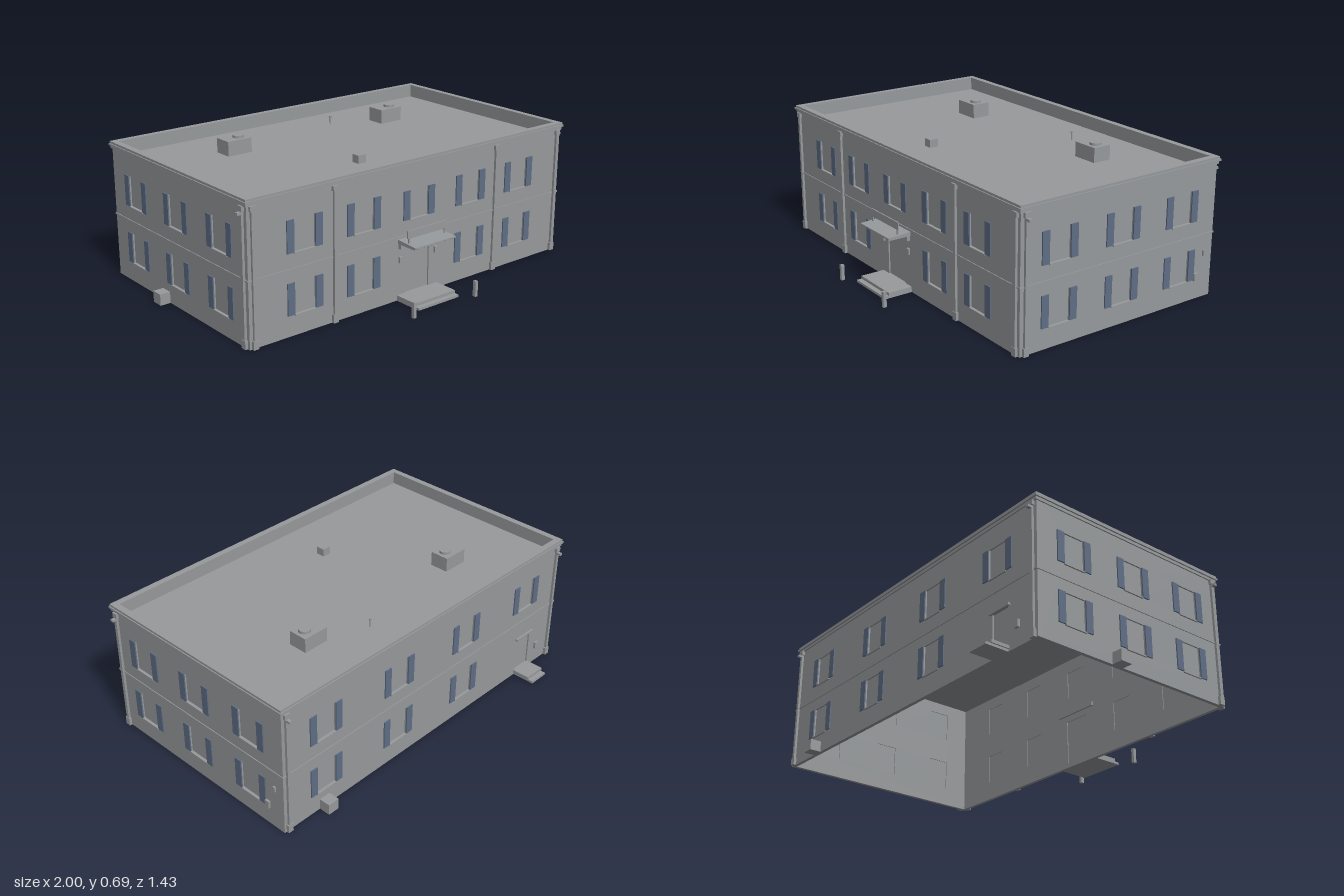
import * as THREE from 'three';

const stone = new THREE.MeshStandardMaterial({ color: 0x979a9c });
stone.name = 'stone grey';
const blue = new THREE.MeshStandardMaterial({ color: 0x5f6d84 });
blue.name = 'shutter blue';

// Outer wall faces
const X0 = -0.947, X1 = 0.964, Z0 = -0.598, Z1 = 0.517;
const CX = (X0 + X1) / 2, CZ = (Z0 + Z1) / 2;
const W = X1 - X0, D = Z1 - Z0, H = 0.645, T = 0.018;
const GLASS_W = 0.115, UP = [0.387, 0.537], LOW = [0.1, 0.25];

// Box given by its min and max on each axis
function box(parent, name, x0, x1, y0, y1, z0, z1, mat = stone) {
  const m = new THREE.Mesh(new THREE.BoxGeometry(x1 - x0, y1 - y0, z1 - z0), mat);
  m.position.set((x0 + x1) / 2, (y0 + y1) / 2, (z0 + z1) / 2);
  m.name = name;
  parent.add(m);
  return m;
}

function cylinder(parent, name, r, y0, y1, x, z, sides = 24) {
  const m = new THREE.Mesh(new THREE.CylinderGeometry(r, r, y1 - y0, sides), stone);
  m.position.set(x, (y0 + y1) / 2, z);
  m.name = name;
  parent.add(m);
}

function rectPath(Type, x0, x1, y0, y1) {
  const p = new Type();
  p.moveTo(x0, y0);
  p.lineTo(x1, y0);
  p.lineTo(x1, y1);
  p.lineTo(x0, y1);
  p.closePath();
  return p;
}

// Rectangular ring around the building, out = overhang past the wall faces
function ring(parent, name, y0, y1, out, inner) {
  const shape = rectPath(THREE.Shape, -W / 2 - out, W / 2 + out, -D / 2 - out, D / 2 + out);
  shape.holes.push(rectPath(THREE.Path, -W / 2 + inner, W / 2 - inner, -D / 2 + inner, D / 2 - inner));
  const m = new THREE.Mesh(new THREE.ExtrudeGeometry(shape, { depth: y1 - y0, bevelEnabled: false }), stone);
  m.rotation.x = -Math.PI / 2;
  m.position.set(CX, y0, CZ);
  m.name = name;
  parent.add(m);
}

// Wall in its own frame: u runs right, the outside faces local +z
function wall(parent, name, length, windows, doors, place, turn) {
  const g = new THREE.Group();
  g.name = name;
  const shape = rectPath(THREE.Shape, -length / 2, length / 2, 0, H);
  const openings = [
    ...windows.map(([u, [y0, y1]]) => [u, GLASS_W, y0, y1]),
    ...doors.map(([u, w, y1]) => [u, w, 0.027, y1]),
  ];
  for (const [u, w, y0, y1] of openings) {
    shape.holes.push(rectPath(THREE.Path, u - w / 2, u + w / 2, y0, y1));
    box(g, 'pane', u - w / 2, u + w / 2, y0, y1, -0.014, -0.007);
  }
  const m = new THREE.Mesh(new THREE.ExtrudeGeometry(shape, { depth: T, bevelEnabled: false }), stone);
  m.position.z = -T;
  m.name = 'wallPanel';
  g.add(m);
  for (const [u, [y0, y1]] of windows) {
    const h = GLASS_W / 2;
    box(g, 'sill', u - h, u + h, y0 - 0.006, y0, -0.004, 0.007);
    for (const s of [-1, 1]) {
      const c = u + s * (h + 0.019);
      box(g, 'shutter', c - 0.019, c + 0.019, y0, y1, 0, 0.006, blue);
    }
  }
  g.position.set(...place);
  g.rotation.y = turn;
  parent.add(g);
  return g;
}

// Downpipe with a boot at the foot and a collector box at the top
function downpipe(wallGroup, u) {
  const g = new THREE.Group();
  g.name = 'downpipe';
  box(g, 'pipe', u - 0.008, u + 0.008, 0.03, 0.63, 0, 0.012);
  box(g, 'pipeBoot', u - 0.014, u + 0.014, 0, 0.04, 0, 0.014);
  box(g, 'pipeCollector', u - 0.014, u + 0.014, 0.618, 0.642, 0, 0.014);
  wallGroup.add(g);
}

function rows(columns) {
  return columns.flatMap(u => [[u, UP], [u, LOW]]);
}

export function createModel() {
  const model = new THREE.Group();
  model.name = 'building';

  // Walls with window and door openings
  const frontWindows = [...rows([-0.66, -0.33, 0.33, 0.66]), [0, [0.387, 0.527]]];
  const front = wall(model, 'frontWall', W, frontWindows, [[-0.003, 0.144, 0.25]], [CX, 0, Z1], 0);
  const backWindows = [...rows([-0.7, -0.235, 0.235]), [0.7, UP]];
  const back = wall(model, 'backWall', W, backWindows, [[0.718, 0.1, 0.21]], [CX, 0, Z0], Math.PI);
  const sideLength = D - 2 * T;
  const sideWindows = rows([-0.351, 0, 0.351]);
  const left = wall(model, 'leftWall', sideLength, sideWindows, [], [X1, 0, CZ], Math.PI / 2);
  const right = wall(model, 'rightWall', sideLength, sideWindows, [], [X0, 0, CZ], -Math.PI / 2);

  // Downpipes
  for (const u of [-0.93, -0.497, 0.497, 0.93]) downpipe(front, u);
  for (const u of [-0.93, 0.93]) downpipe(back, u);
  downpipe(left, -0.53);
  downpipe(right, 0.53);

  // Overflow spouts near the roof
  for (const [w, u] of [[left, -0.53], [right, 0.53], [back, -0.93], [back, 0.93]]) {
    box(w, 'overflowSpout', u - 0.008, u + 0.008, 0.604, 0.616, 0, 0.031);
  }

  // Floor band, cornice, parapet and roof
  ring(model, 'floorBand', 0.308, 0.316, 0.004, 0);
  ring(model, 'corniceLower', 0.64, 0.654, 0.006, T);
  ring(model, 'corniceMiddle', 0.654, 0.664, 0.013, T);
  ring(model, 'parapetCap', 0.664, 0.675, 0.008, 0.024);
  box(model, 'roofDeck', X0 + T, X1 - T, 0.597, 0.606, Z0 + T, Z1 - T);

  // Roof equipment
  for (const x of [-0.47, 0.487]) {
    const unit = new THREE.Group();
    unit.name = 'roofUnit';
    box(unit, 'unitBody', x - 0.067, x + 0.067, 0.604, 0.678, -0.32, -0.224);
    cylinder(unit, 'unitFan', 0.028, 0.678, 0.69, x + 0.022, -0.27);
    model.add(unit);
  }
  box(model, 'roofHatch', -0.135, -0.09, 0.604, 0.645, 0.21, 0.255);
  cylinder(model, 'ventPipe', 0.004, 0.604, 0.645, 0.205, -0.382, 10);
  cylinder(model, 'ventCap', 0.007, 0.643, 0.652, 0.205, -0.382, 10);

  // Front entrance: steps, canopy, board, lamps and bollards
  box(model, 'frontStepLower', -0.118, 0.134, 0, 0.012, Z1, 0.667);
  box(model, 'frontStepUpper', -0.118, 0.134, 0.012, 0.027, Z1, 0.642);
  const profile = new THREE.Shape([[0.49, 0.283], [0.628, 0.283], [0.637, 0.288], [0.637, 0.296], [0.49, 0.304]]
    .map(([z, y]) => new THREE.Vector2(-z, y)));
  const canopy = new THREE.Mesh(new THREE.ExtrudeGeometry(profile, { depth: 0.252, bevelEnabled: false }), stone);
  canopy.rotation.y = Math.PI / 2;
  canopy.position.x = -0.118;
  canopy.name = 'canopy';
  model.add(canopy);
  box(model, 'canopyBoard', -0.113, 0.128, 0.322, 0.36, 0.574, 0.58);
  for (const s of [-1, 1]) {
    const x = 0.008 + s * 0.11;
    box(model, 'boardPost', x - 0.004, x + 0.004, 0.298, 0.325, 0.574, 0.58);
    box(model, 'canopyBracket', x + s * 0.008 - 0.004, x + s * 0.008 + 0.004, 0.258, 0.284, Z1, 0.535);
    box(model, 'doorLamp', x - 0.009, x + 0.009, 0.187, 0.217, Z1, 0.527);
    const bx = 0.008 + s * 0.194;
    box(model, 'bollard', bx - 0.008, bx + 0.008, 0, 0.077, 0.7, 0.717);
  }

  // Back entrance
  box(model, 'backStepLower', -0.762, -0.655, 0, 0.012, -0.717, Z0);
  box(model, 'backStepUpper', -0.768, -0.65, 0.012, 0.027, -0.69, Z0);
  box(model, 'backDoorLintel', -0.775, -0.645, 0.21, 0.222, -0.609, Z0);
  box(model, 'backMeter', -0.835, -0.81, 0.085, 0.12, -0.609, Z0);

  // Ground units and wall boxes
  box(model, 'backGroundUnit', 0.69, 0.75, 0, 0.055, -0.655, Z0);
  box(model, 'sideGroundUnit', -1, X0, 0, 0.055, -0.187, -0.126);
  box(model, 'sideMeter', X1, 0.975, 0.092, 0.13, -0.512, -0.488);
  box(model, 'sideLamp', X1, 0.973, 0.207, 0.235, -0.551, -0.54);

  return model;
}
